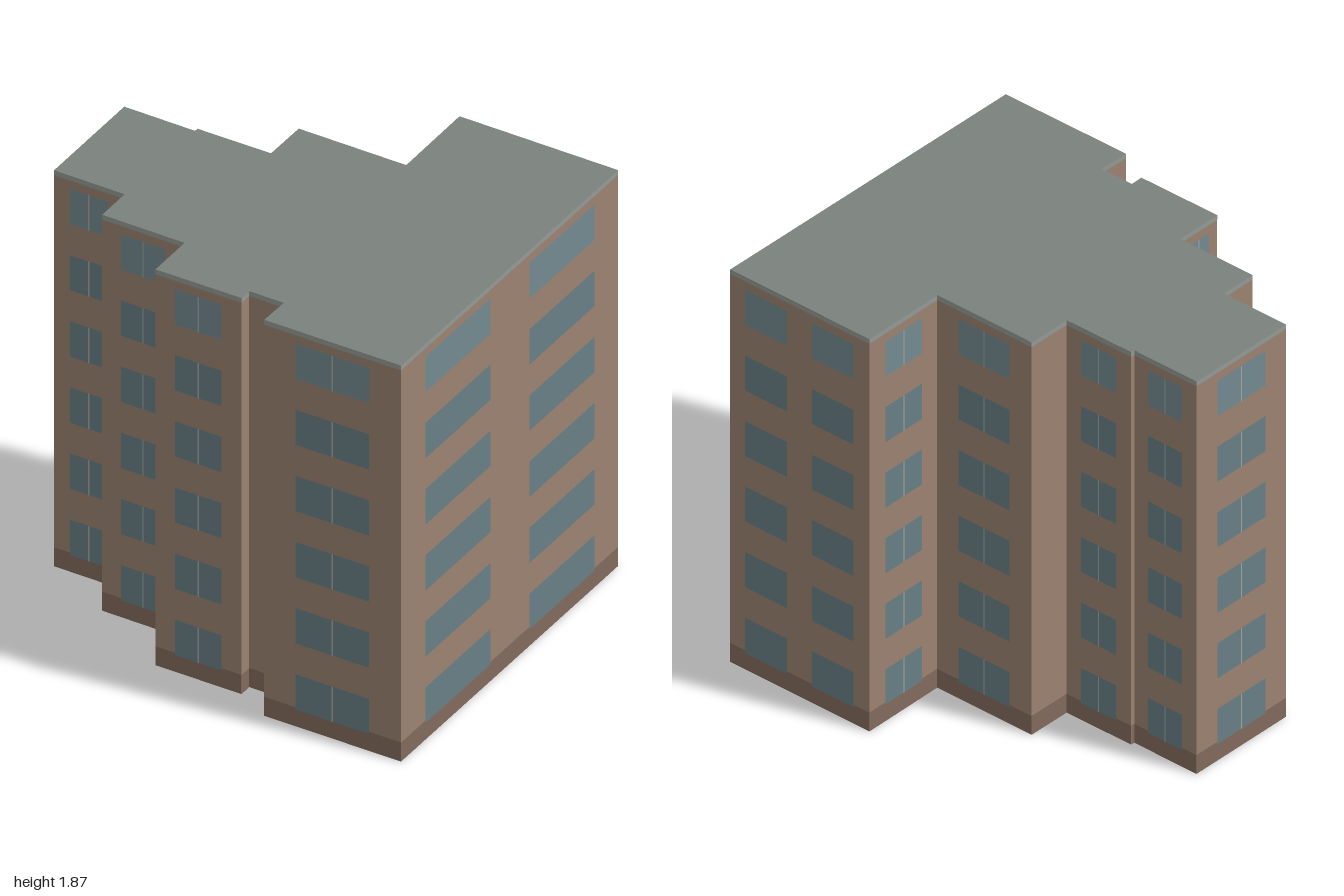
import * as THREE from 'three';

const HEIGHT = 1.87, CAP = 0.022, BASE = 0.09;
const FLOORS = 6, SILL = 0.08, PITCH = 0.3125, WINDOW_H = 0.167;

// Footprint corners [x, z], counter-clockwise seen from above
const PLAN = [
  [-1, -0.02], [-0.94, 0.51], [-0.615, 0.475], [-0.595, 0.645], [-0.215, 0.605], [-0.19, 0.825],
  [0.205, 0.78], [0.197, 0.722], [0.357, 0.705], [0.37, 0.848], [0.997, 0.777], [0.817, -0.853],
  [0.087, -0.775], [0.135, -0.37], [-0.36, -0.317], [-0.338, -0.11], [-0.675, -0.072], [-0.673, -0.054],
];

const paint = (color, side = THREE.FrontSide) =>
  new THREE.MeshStandardMaterial({ color, side, flatShading: true });

export function createModel() {
  const model = new THREE.Group();
  model.name = 'apartmentBlock';
  const mats = {
    wall: paint(0x9b8271, THREE.DoubleSide),
    base: paint(0x826a5d),
    cap: paint(0x929a96),
    roof: paint(0x7b827e, THREE.DoubleSide),
    glass: paint(0x687f86),
    paleGlass: paint(0x738a90),
    mullion: paint(0xa3a8a2),
  };

  // Upright panel in a wall's own frame: x along the wall, z outward
  function panel(parent, name, material, x0, x1, y0, y1, z) {
    const mesh = new THREE.Mesh(new THREE.PlaneGeometry(x1 - x0, y1 - y0), material);
    mesh.position.set((x0 + x1) / 2, (y0 + y1) / 2, z);
    mesh.name = name;
    parent.add(mesh);
  }

  PLAN.forEach(([x, z], i) => {
    const [nx, nz] = PLAN[(i + 1) % PLAN.length];
    const length = Math.hypot(nx - x, nz - z);
    const wall = new THREE.Group();
    wall.name = 'wall' + (i + 1);
    wall.position.set(x, 0, z);
    wall.rotation.y = -Math.atan2(nz - z, nx - x);
    model.add(wall);

    panel(wall, 'wallFace', mats.wall, 0, length, 0, HEIGHT, 0);
    panel(wall, 'baseBand', mats.base, 0, length, 0, BASE, 0.001);
    panel(wall, 'roofEdge', mats.cap, 0, length, HEIGHT - CAP, HEIGHT, 0.001);

    // Short returns stay blank; long walls carry two window bays
    if (length < 0.215) return;
    const bays = length > 0.7 ? [[0.11, 0.41], [0.59, 0.89]] : [[0.23, 0.77]];
    for (let floor = 0; floor < FLOORS; floor++) {
      const y0 = SILL + floor * PITCH, y1 = y0 + WINDOW_H;
      const glass = floor === FLOORS - 1 ? mats.paleGlass : mats.glass;
      for (const [a, b] of bays) {
        panel(wall, 'window', glass, a * length, b * length, y0, y1, 0.002);
        if (bays.length === 1) {
          const mid = (a + b) / 2 * length;
          panel(wall, 'mullion', mats.mullion, mid - 0.003, mid + 0.003, y0, y1, 0.003);
        }
      }
    }
  });

  // Flat roof following the footprint
  const shape = new THREE.Shape(PLAN.map(([x, z]) => new THREE.Vector2(x, -z)));
  const roof = new THREE.Mesh(new THREE.ShapeGeometry(shape), mats.roof);
  roof.name = 'roof';
  roof.rotation.x = -Math.PI / 2;
  roof.position.y = HEIGHT;
  model.add(roof);

  return model;
}
